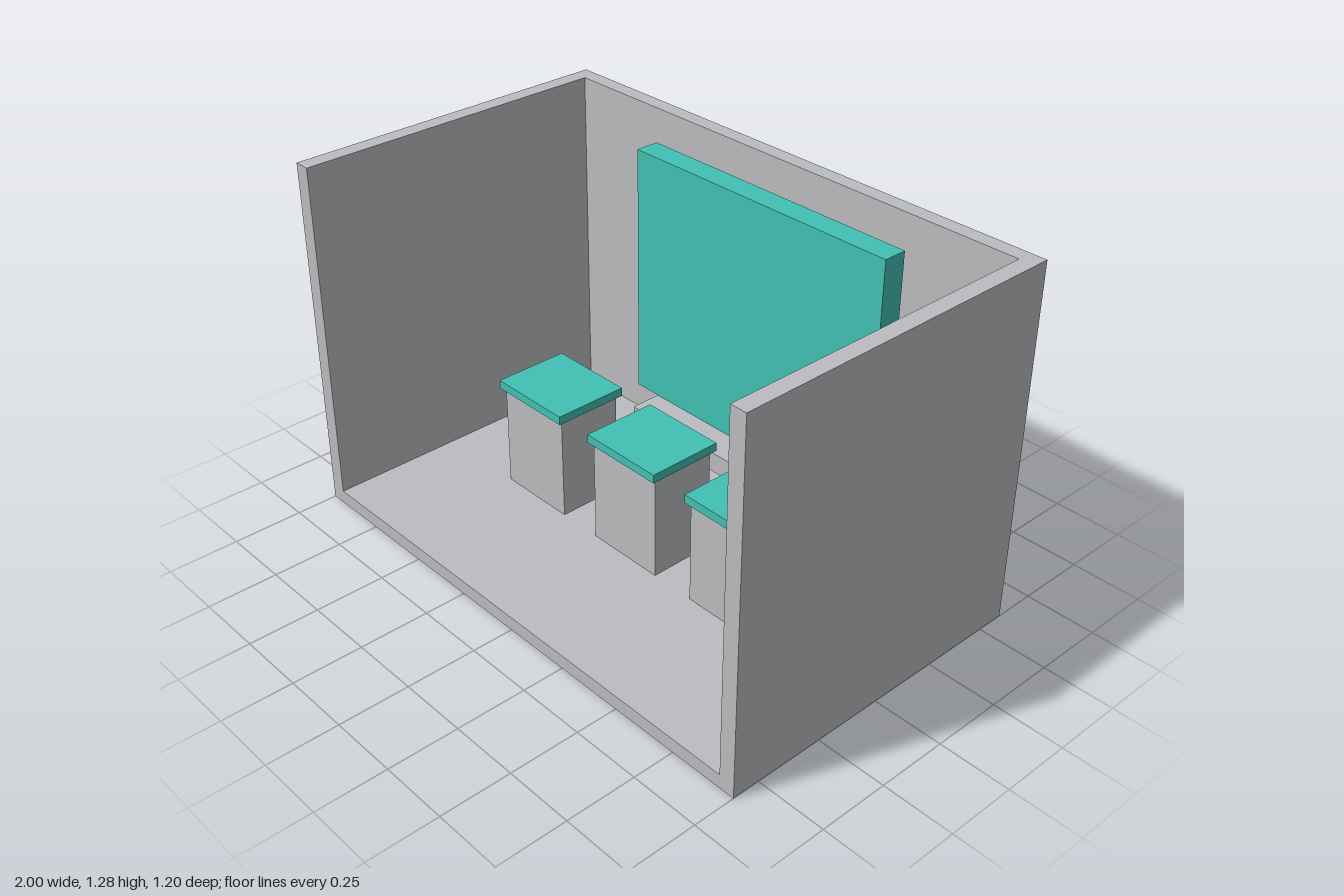
import * as THREE from 'three';

export function createModel() {
  const model = new THREE.Group();
  const grey = new THREE.MeshStandardMaterial({ color: 0xbcbdc0 });
  grey.name = 'light grey';
  const teal = new THREE.MeshStandardMaterial({ color: 0x41c1b3 });
  teal.name = 'teal';

  // Box given by its minimum and maximum corners
  function box(name, material, [x0, y0, z0], [x1, y1, z1], parent = model) {
    const mesh = new THREE.Mesh(new THREE.BoxGeometry(x1 - x0, y1 - y0, z1 - z0), material);
    mesh.position.set((x0 + x1) / 2, (y0 + y1) / 2, (z0 + z1) / 2);
    mesh.name = name;
    parent.add(mesh);
  }

  // Booth shell, open at the front and top
  const inner = 0.943, floorTop = 0.05, height = 1.28, wallFront = -0.545;
  box('floor', grey, [-1, 0, -0.6], [1, floorTop, 0.6]);
  box('backWall', grey, [-inner, floorTop, -0.6], [inner, height, wallFront]);
  box('rightWall', grey, [-1, floorTop, -0.6], [-inner, height, 0.6]);
  box('leftWall', grey, [inner, floorTop, -0.6], [1, height, 0.6]);

  // Display panel standing on a wall shelf
  box('displayPanel', teal, [-0.55, 0.24, -0.527], [0.55, 1.165, -0.44]);
  box('wallShelf', grey, [-0.446, 0.165, wallFront], [0.446, 0.24, -0.323]);

  // Row of three pedestals with overhanging tops
  for (const x of [-0.46, 0, 0.46]) {
    const pedestal = new THREE.Group();
    pedestal.name = 'pedestal';
    pedestal.position.x = x;
    box('pedestalBase', grey, [-0.148, floorTop, -0.122], [0.148, 0.428, 0.118], pedestal);
    box('pedestalTop', teal, [-0.159, 0.428, -0.14], [0.159, 0.459, 0.135], pedestal);
    model.add(pedestal);
  }
  return model;
}
